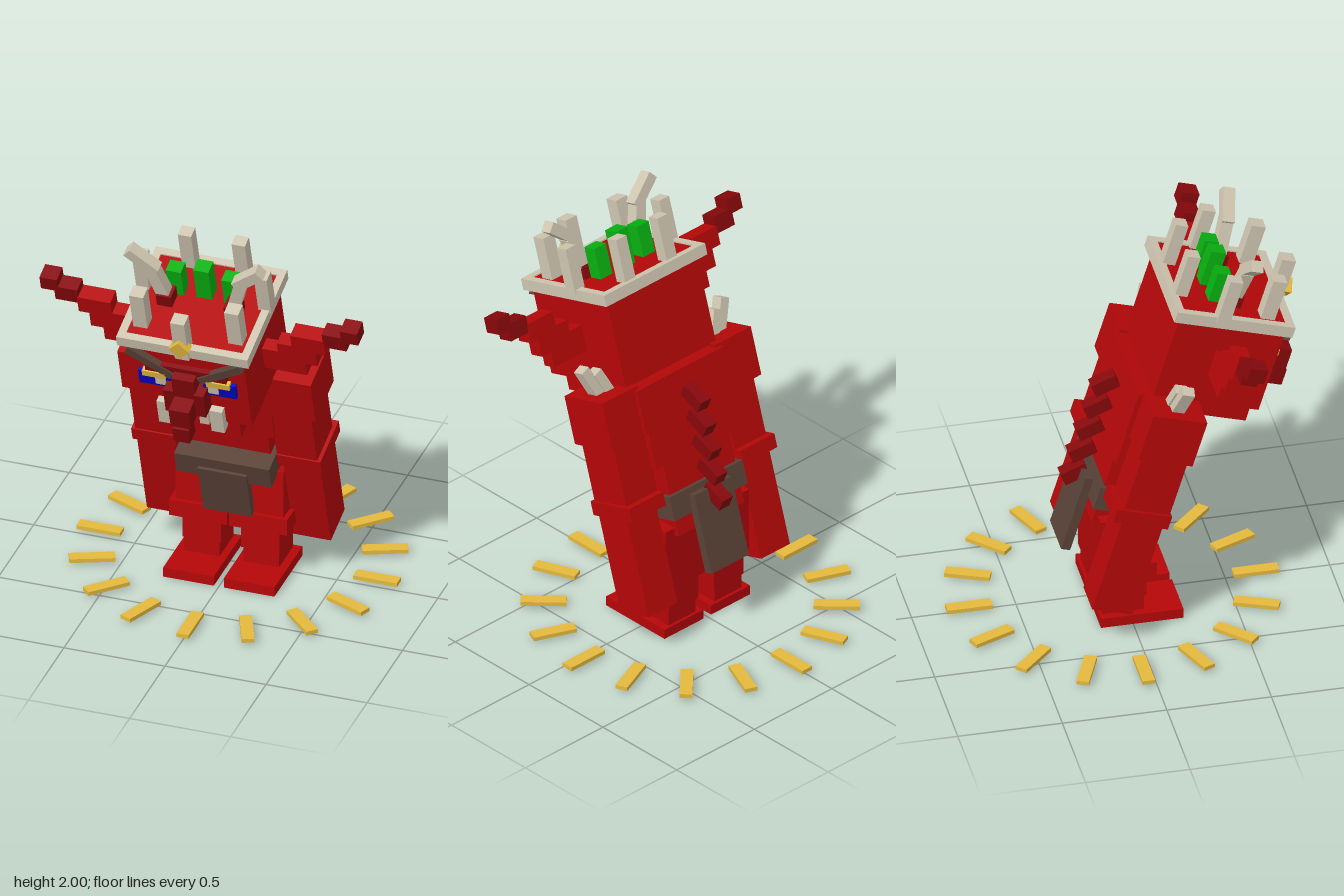
import * as THREE from 'three';

const mat = (name, color) => {
  const m = new THREE.MeshStandardMaterial({ color });
  m.name = name;
  return m;
};

export function createModel() {
  const red = mat('red skin', 0xb50708);
  const darkRed = mat('dark red', 0x86070b);
  const brown = mat('brown leather', 0x594237);
  const bone = mat('bone', 0xcfc5b0);
  const gold = mat('gold', 0xe3b93c);
  const green = mat('green', 0x08b010);
  const blue = mat('blue', 0x0404c4);

  const model = new THREE.Group();
  model.name = 'hornedGuardian';

  // box from its x, y and z ranges
  const box = (parent, name, m, [x0, x1], [y0, y1], [z0, z1]) => {
    const mesh = new THREE.Mesh(new THREE.BoxGeometry(x1 - x0, y1 - y0, z1 - z0), m);
    mesh.position.set((x0 + x1) / 2, (y0 + y1) / 2, (z0 + z1) / 2);
    mesh.name = name;
    parent.add(mesh);
    return mesh;
  };
  // the same box on both sides
  const pair = (parent, name, m, [x0, x1], ys, zs, tilt = 0) => {
    box(parent, name + 'Left', m, [x0, x1], ys, zs).rotation.z = tilt;
    box(parent, name + 'Right', m, [-x1, -x0], ys, zs).rotation.z = -tilt;
  };

  // legs stand upright
  const legs = new THREE.Group();
  legs.name = 'legs';
  model.add(legs);
  pair(legs, 'foot', red, [0.025, 0.275], [0, 0.05], [-0.155, 0.24]);
  pair(legs, 'ankle', red, [0.06, 0.235], [0.05, 0.14], [-0.14, 0.06]);
  pair(legs, 'shin', red, [0.05, 0.24], [0.13, 0.28], [-0.15, 0.07]);
  pair(legs, 'knee', red, [0.005, 0.292], [0.26, 0.345], [-0.15, 0.11]);
  pair(legs, 'thigh', red, [0.008, 0.268], [0.255, 0.59], [-0.155, 0.09]);

  // everything above the legs leans forward
  const upper = new THREE.Group();
  upper.name = 'upperBody';
  upper.rotation.x = THREE.MathUtils.degToRad(17);
  model.add(upper);

  // torso
  box(upper, 'waist', red, [-0.21, 0.21], [0.48, 0.87], [-0.34, -0.1]);
  box(upper, 'chest', red, [-0.255, 0.255], [0.838, 1.22], [-0.34, -0.07]);
  box(upper, 'upperBack', red, [-0.28, 0.28], [1.03, 1.25], [-0.355, -0.075]);
  for (let i = 0; i < 5; i++) {
    const y = 1.12 - i * 0.125;
    const spike = box(upper, 'backSpike' + i, darkRed, [-0.033, 0.033], [y - 0.034, y + 0.034], [-0.487, -0.362]);
    spike.rotation.x = -0.68;
  }

  // belt and cloths
  box(upper, 'belt', brown, [-0.235, 0.235], [0.57, 0.69], [-0.365, 0]);
  box(upper, 'frontCloth', brown, [-0.12, 0.12], [0.355, 0.63], [-0.03, 0.015]);
  box(upper, 'backCloth', brown, [-0.12, 0.12], [0.26, 0.66], [-0.405, -0.36]);

  // arms
  pair(upper, 'shoulder', red, [0.25, 0.478], [1.02, 1.265], [-0.332, -0.063]);
  pair(upper, 'upperArm', red, [0.25, 0.45], [0.69, 1.03], [-0.305, -0.08]);
  pair(upper, 'elbowCuff', red, [0.25, 0.468], [0.655, 0.725], [-0.345, -0.072]);
  pair(upper, 'forearm', red, [0.27, 0.455], [0.16, 0.67], [-0.297, -0.095]);
  pair(upper, 'shoulderSpikeOuter', bone, [0.39, 0.44], [1.23, 1.415], [-0.225, -0.165], -0.4);
  pair(upper, 'shoulderSpikeInner', bone, [0.335, 0.385], [1.24, 1.38], [-0.235, -0.175], -0.4);

  // head
  const head = new THREE.Group();
  head.name = 'head';
  upper.add(head);
  box(head, 'skull', red, [-0.29, 0.29], [1.26, 1.745], [-0.29, 0.237]);
  box(head, 'jaw', red, [-0.22, 0.22], [1.15, 1.3], [-0.2, 0.222]);

  // ears step outwards and upwards: x range, y range, half depth
  [
    [[0.28, 0.5], [1.42, 1.55], 0.035],
    [[0.37, 0.56], [1.5, 1.61], 0.038],
    [[0.445, 0.61], [1.59, 1.685], 0.042],
    [[0.605, 0.72], [1.645, 1.73], 0.04],
    [[0.7, 0.785], [1.705, 1.78], 0.043],
  ].forEach(([xs, ys, d], i) => pair(head, 'ear' + i, i < 3 ? red : darkRed, xs, ys, [-0.03 - d, -0.03 + d]));

  // face
  pair(head, 'eyebrow', brown, [0.05, 0.3], [1.592, 1.634], [0.235, 0.272], 0.55);
  box(head, 'browRidge', darkRed, [-0.2, 0.2], [1.555, 1.605], [0.23, 0.264]);
  pair(head, 'eye', blue, [0.08, 0.24], [1.455, 1.54], [0.235, 0.258]);
  pair(head, 'eyelid', gold, [0.1, 0.216], [1.522, 1.555], [0.24, 0.272]);
  pair(head, 'pupil', bone, [0.105, 0.155], [1.475, 1.524], [0.24, 0.267]);
  box(head, 'noseBridge', darkRed, [-0.055, 0.055], [1.42, 1.58], [0.23, 0.31]);
  box(head, 'noseTip', darkRed, [-0.05, 0.05], [1.35, 1.46], [0.28, 0.4]);
  pair(head, 'nostril', darkRed, [0.05, 0.1], [1.36, 1.5], [0.23, 0.32]);
  box(head, 'upperLip', darkRed, [-0.1, 0.1], [1.33, 1.37], [0.22, 0.25]);
  box(head, 'chinTuft', darkRed, [-0.04, 0.04], [1.26, 1.345], [0.33, 0.41]);
  pair(head, 'fang', bone, [0.098, 0.162], [1.22, 1.36], [0.215, 0.275]);
  pair(head, 'smallTooth', bone, [0.045, 0.09], [1.26, 1.335], [0.215, 0.275]);

  // crown ring
  const crown = new THREE.Group();
  crown.name = 'crown';
  upper.add(crown);
  const ringY = [1.695, 1.752];
  pair(crown, 'crownSide', bone, [0.287, 0.325], ringY, [-0.325, 0.265]);
  box(crown, 'crownFront', bone, [-0.287, 0.287], ringY, [0.225, 0.265]);
  box(crown, 'crownBack', bone, [-0.287, 0.287], ringY, [-0.325, -0.285]);

  // crown prongs
  box(crown, 'frontProng', bone, [-0.035, 0.035], [1.69, 1.935], [0.21, 0.278]);
  pair(crown, 'cornerProng', bone, [0.2, 0.27], [1.73, 1.955], [0.105, 0.175]);
  pair(crown, 'sideProng', bone, [0.27, 0.333], [1.73, 1.96], [-0.125, -0.06]);
  pair(crown, 'backProng', bone, [0.1, 0.166], [1.73, 1.965], [-0.3, -0.238]);
  pair(crown, 'hornBase', darkRed, [0.13, 0.205], [1.73, 1.81], [-0.06, 0.02]);
  pair(crown, 'hornStem', bone, [0.165, 0.225], [1.77, 1.97], [-0.05, 0.01], -0.3);
  pair(crown, 'hornTip', bone, [0.235, 0.29], [1.92, 2.09], [-0.05, 0.01], -0.87);
  box(crown, 'gem', gold, [-0.036, 0.036], [1.738, 1.81], [0.255, 0.302]).rotation.z = Math.PI / 4;

  // green tufts
  box(crown, 'middleTuft', green, [-0.038, 0.038], [1.73, 1.93], [-0.145, -0.07]);
  pair(crown, 'sideTuft', green, [0.1, 0.175], [1.73, 1.9], [-0.135, -0.065]);

  // ring of gold bars around the feet
  const bars = new THREE.Group();
  bars.name = 'groundBars';
  bars.position.z = -0.04;
  model.add(bars);
  for (let i = 0; i < 16; i++) {
    const a = (i * Math.PI) / 8;
    const bar = box(bars, 'bar' + i, gold, [-0.03, 0.03], [0.013, 0.033], [-0.108, 0.108]);
    bar.position.x = 0.685 * Math.sin(a);
    bar.position.z = 0.685 * Math.cos(a);
    bar.rotation.y = a;
  }
  return model;
}
